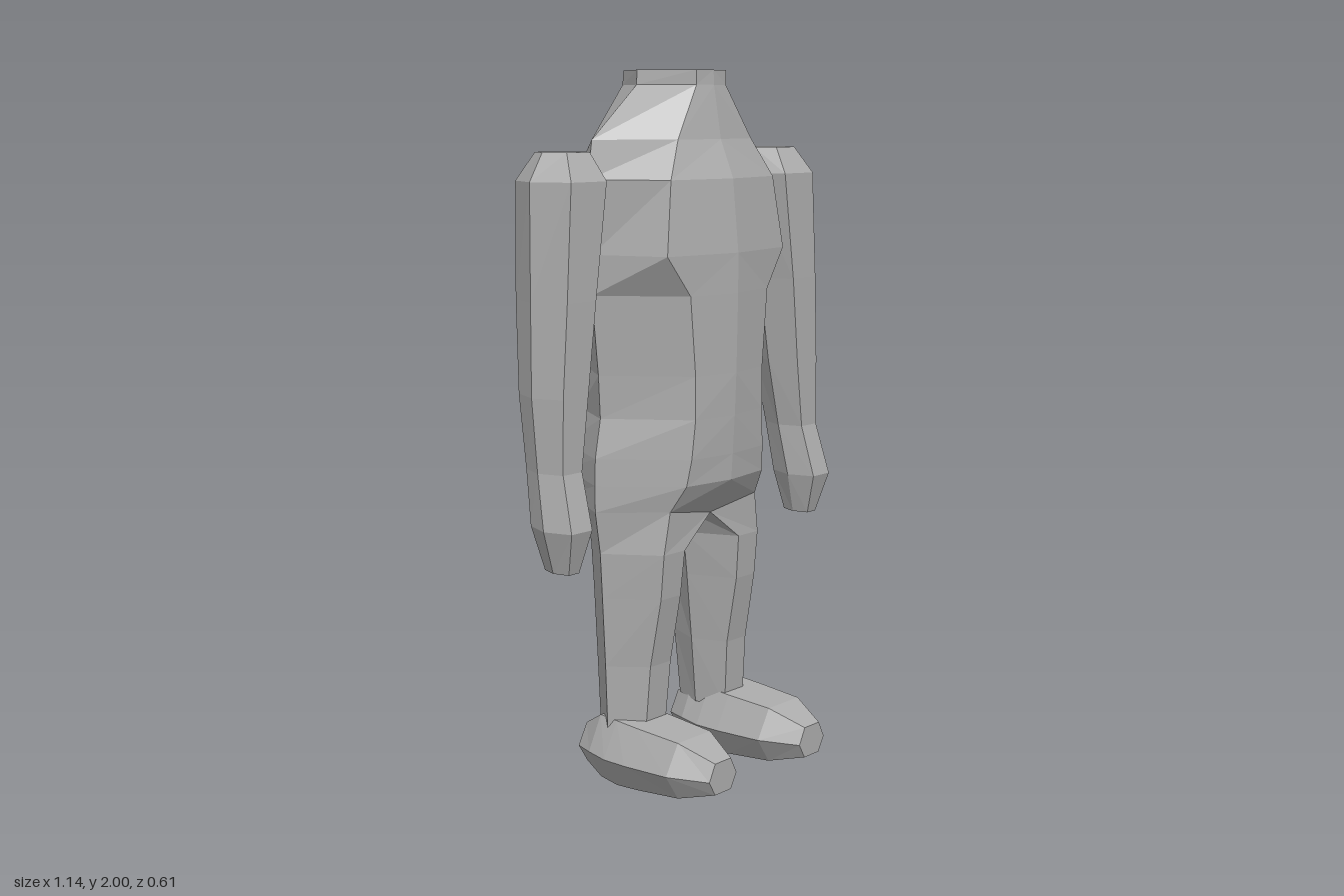
import * as THREE from 'three';

const grey = new THREE.MeshStandardMaterial({ color: 0xacacac, flatShading: true });
grey.name = 'plain grey';

// Skin a list of closed rings (counter-clockwise seen from the first end).
// Faces lying on the mirror plane x = 0 are left out.
function loft(rings, { side = 1, capStart = true, capEnd = true } = {}) {
  const pos = [];
  const tri = (a, b, c) => {
    if (a[0] === 0 && b[0] === 0 && c[0] === 0) return;
    for (const p of side > 0 ? [a, b, c] : [a, c, b]) pos.push(p[0] * side, p[1], p[2]);
  };
  const n = rings[0].length;
  for (let i = 0; i < rings.length - 1; i++) {
    const a = rings[i], b = rings[i + 1];
    for (let j = 0; j < n; j++) {
      const k = (j + 1) % n;
      tri(a[j], b[j], b[k]);
      tri(a[j], b[k], a[k]);
    }
  }
  const first = rings[0], last = rings[rings.length - 1];
  for (let j = 1; j < n - 1; j++) {
    if (capStart) tri(first[0], first[j], first[j + 1]);
    if (capEnd) tri(last[0], last[j + 1], last[j]);
  }
  const g = new THREE.BufferGeometry();
  g.setAttribute('position', new THREE.Float32BufferAttribute(pos, 3));
  g.computeVertexNormals();
  return g;
}

// Six-sided outline with corners at both sides
const HEX = [[-0.58, 1], [0.58, 1], [1, 0], [0.58, -1], [-0.58, -1], [-1, 0]];

// Half torso levels: y, front middle z, front corner x z, side x, back corner x z, back middle z
const TORSO = [
  [2.0, 0.093, 0.06, 0.085, 0.145, 0.07, -0.18, -0.19],
  [1.96, 0.095, 0.06, 0.085, 0.148, 0.075, -0.18, -0.192],
  [1.815, 0.12, 0.15, 0.1, 0.32, 0.18, -0.195, -0.222],
  [1.71, 0.165, 0.21, 0.13, 0.335, 0.235, -0.21, -0.255],
  [1.51, 0.185, 0.24, 0.145, 0.322, 0.243, -0.21, -0.272],
  [1.4, 0.185, 0.16, 0.155, 0.325, 0.22, -0.21, -0.27],
  [1.18, 0.18, 0.14, 0.155, 0.303, 0.2, -0.205, -0.245],
  [1.06, 0.175, 0.14, 0.155, 0.297, 0.2, -0.235, -0.232],
  [0.95, 0.168, 0.15, 0.15, 0.318, 0.2, -0.295, -0.255],
  [0.875, 0.163, 0.16, 0.14, 0.32, 0.2, -0.305, -0.26],
].map(([y, fm, fx, fz, sx, bx, bz, bm]) =>
  [[0, y, fm], [fx, y, fz], [sx, y, -0.055], [bx, y, bz], [0, y, bm], [0, y, -0.06]]);

// Hip outline, shared by the torso and the leg
const HIP = [[0, 0.77, 0.085], [0.18, 0.8, 0.097], [0.32, 0.8, -0.055],
  [0.2, 0.8, -0.287], [0, 0.77, -0.2], [0, 0.77, -0.06]];

// Leg levels: y, inner x, front inner x, front outer x, outer x, front z, back z
const LEG = [
  [0.68, 0.045, 0.115, 0.2, 0.302, 0.092, -0.195],
  [0.55, 0.06, 0.12, 0.2, 0.295, 0.08, -0.185],
  [0.35, 0.08, 0.122, 0.205, 0.285, 0.043, -0.168],
  [0.15, 0.098, 0.13, 0.21, 0.278, 0.028, -0.152],
].map(([y, i, fi, fo, o, f, b]) =>
  [[fi, y, f], [fo, y, f], [o, y, -0.055], [fo, y, b], [fi, y, b], [i, y, -0.06]]);

// Arm levels: y, inner x, outer x, front z, back z
const ARM = [
  [1.785, 0.352, 0.495, 0.0, -0.12],
  [1.71, 0.32, 0.542, 0.047, -0.165],
  [1.4, 0.372, 0.552, 0.047, -0.15],
  [1.15, 0.405, 0.562, 0.043, -0.128],
  [0.95, 0.438, 0.557, 0.042, -0.1],
  [0.8, 0.442, 0.572, 0.085, -0.072],
  [0.68, 0.472, 0.537, 0.05, -0.042],
].map(([y, i, o, f, b]) => HEX.map(([u, v]) =>
  [(i + o) / 2 + u * (o - i) / 2, y, (f + b) / 2 + v * (f - b) / 2]));

// Foot sections from toe to heel: z, half width, bottom y, top y
const FOOT = [
  [0.307, 0.056, 0.048, 0.138],
  [0.2, 0.115, 0.02, 0.18],
  [0.05, 0.126, 0.006, 0.188],
  [-0.03, 0.126, 0.0, 0.192],
  [-0.1, 0.115, 0.006, 0.192],
  [-0.178, 0.08, 0.03, 0.145],
].map(([z, w, lo, hi]) => HEX.map(([u, v]) => [
  0.195 + u * w, v > 0 ? hi : v < 0 ? lo : lo + (hi - lo) * 0.47, z,
]).reverse());

export function createModel() {
  const model = new THREE.Group();
  model.name = 'figure';
  const add = (name, geometry) => {
    const mesh = new THREE.Mesh(geometry, grey);
    mesh.name = name;
    model.add(mesh);
  };
  for (const side of [1, -1]) {
    const label = side > 0 ? 'left' : 'right';
    add(label + 'Torso', loft([...TORSO, HIP], { side, capEnd: false }));
    add(label + 'Leg', loft([HIP, ...LEG], { side, capStart: false }));
    add(label + 'Arm', loft(ARM, { side }));
    // Foot outlines run counter-clockwise seen from the toe
    add(label + 'Foot', loft(FOOT, { side }));
  }
  return model;
}
